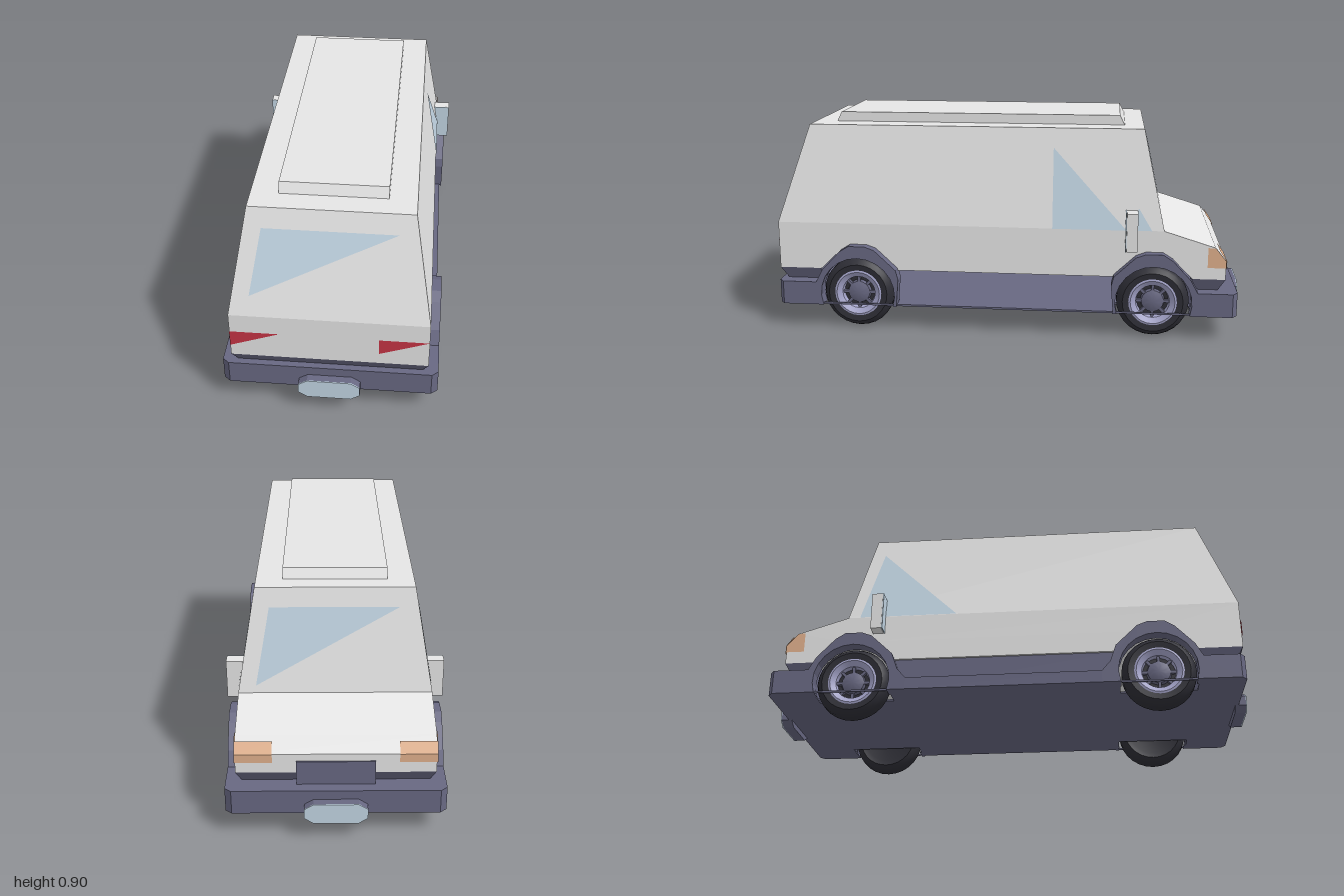
import * as THREE from 'three';
import { toCreasedNormals } from 'three/addons/utils/BufferGeometryUtils.js';

const material = (name, color, side = THREE.FrontSide) =>
  Object.assign(new THREE.MeshStandardMaterial({ color, side }), { name });

export function createModel() {
  const van = new THREE.Group();
  van.name = 'van';
  const white = material('body white', 0xe6e6e6);
  const trim = material('slate trim', 0x686882);
  const rubber = material('tyre black', 0x2e2e36);
  const alloy = material('wheel alloy', 0xa6a6cc);
  const glass = material('pale glass', 0xc3d6e4, THREE.DoubleSide);
  const red = material('tail red', 0xc63444, THREE.DoubleSide);
  const amber = material('lamp amber', 0xe0b08c, THREE.DoubleSide);

  const add = (name, geometry, mat, parent = van) => {
    const mesh = new THREE.Mesh(geometry, mat);
    mesh.name = name;
    parent.add(mesh);
    return mesh;
  };
  const polygon = pts => new THREE.Shape(pts.map(p => new THREE.Vector2(...p)));
  // Side profile (z, y) extruded from x0 to x1
  const sideExtrude = (shape, x0, x1) =>
    new THREE.ExtrudeGeometry(shape, { depth: x1 - x0, bevelEnabled: false, curveSegments: 14 })
      .rotateY(-Math.PI / 2).translate(x1, 0, 0);
  // Plan outline (x, z) extruded upward from y0 to y1
  const planExtrude = (shape, y0, y1) =>
    new THREE.ExtrudeGeometry(shape, { depth: y1 - y0, bevelEnabled: false })
      .rotateX(Math.PI / 2).translate(0, y1, 0);
  // Flat convex painted face
  const face = (name, pts, mat) => {
    const g = new THREE.BufferGeometry();
    const v = [];
    for (let i = 1; i < pts.length - 1; i++) v.push(...pts[0], ...pts[i], ...pts[i + 1]);
    g.setAttribute('position', new THREE.Float32BufferAttribute(v, 3));
    g.computeVertexNormals();
    return add(name, g, mat);
  };

  // Lower body with bonnet and wheel arches
  const arch = z => [[z - 0.16, 0.25], [z - 0.1, 0.31], [z - 0.04, 0.335],
    [z + 0.04, 0.335], [z + 0.1, 0.31], [z + 0.16, 0.25]];
  add('lowerBody', sideExtrude(polygon([
    [-0.915, 0.25], ...arch(-0.62), ...arch(0.625), [0.966, 0.25], [0.966, 0.45],
    [-0.66, 0.45], [-0.87, 0.385], [-0.915, 0.33]]), -0.38, 0.38), white);

  // Upper body, walls leaning in toward the roof
  const cabin = sideExtrude(polygon([[-0.66, 0.45], [0.966, 0.45], [0.83, 0.86], [-0.57, 0.86]]), -0.38, 0.38);
  const p = cabin.attributes.position;
  for (let i = 0; i < p.count; i++) if (p.getY(i) > 0.8) p.setX(i, Math.sign(p.getX(i)) * 0.31);
  cabin.computeVertexNormals();
  add('upperBody', cabin, white);
  add('roofPanel', sideExtrude(polygon([[-0.49, 0.86], [0.74, 0.86], [0.72, 0.9], [-0.47, 0.9]]), -0.205, 0.205), white);

  // Recessed skirts tapering under the body ends
  const skirt = (name, z0, zTop, zLow) => {
    const g = sideExtrude(polygon(zTop > 0
      ? [[z0, 0.195], [zLow, 0.195], [zTop, 0.25], [z0, 0.25]]
      : [[zLow, 0.195], [z0, 0.195], [z0, 0.25], [zTop, 0.25]]), -0.38, 0.38);
    const q = g.attributes.position;
    for (let i = 0; i < q.count; i++) if (q.getY(i) < 0.22) q.setX(i, Math.sign(q.getX(i)) * 0.358);
    g.computeVertexNormals();
    add(name, g, trim);
  };
  skirt('frontSkirt', 0.79, 0.966, 0.935);
  skirt('backSkirt', -0.78, -0.915, -0.885);
  add('rightSkirt', new THREE.BoxGeometry(0.02, 0.14, 0.92).translate(-0.36, 0.18, 0), trim);

  // Bumpers with cut corners and octagonal plate holders
  for (const s of [1, -1]) {
    const end = s > 0 ? 'front' : 'back';
    add(end + 'Bumper', planExtrude(polygon([[-0.42, s * 0.78], [0.42, s * 0.78], [0.42, s * 0.945],
      [0.395, s * 0.965], [-0.395, s * 0.965], [-0.42, s * 0.945]]), 0.1, 0.2), trim);
    const oct = polygon([[-0.085, 0.077], [0.085, 0.077], [0.12, 0.1], [0.12, 0.14],
      [0.085, 0.162], [-0.085, 0.162], [-0.12, 0.14], [-0.12, 0.1]]);
    add(end + 'PlateHolder', new THREE.ExtrudeGeometry(oct, { depth: 0.045, bevelEnabled: false })
      .translate(0, 0, s > 0 ? 0.951 : -0.996), trim);
    add(end + 'Plate', new THREE.ExtrudeGeometry(oct, { depth: 0.004, bevelEnabled: false })
      .translate(0, 0, s > 0 ? 0.996 : -1), glass);
  }

  // Floor with openings for the wheels
  const floor = polygon([[-0.41, -0.94], [0.41, -0.94], [0.41, 0.94], [-0.41, 0.94]]);
  for (const x of [-0.35, 0.35]) for (const z of [-0.62, 0.625])
    floor.holes.push(new THREE.Path([[x - 0.055, z - 0.155], [x - 0.055, z + 0.155],
      [x + 0.055, z + 0.155], [x + 0.055, z - 0.155]].map(c => new THREE.Vector2(...c))));
  add('floor', planExtrude(floor, 0.1, 0.108), trim);

  // Wheel arch trims
  const a0 = Math.asin(0.05 / 0.158);
  for (const x of [-1, 1]) for (const s of [-1, 1]) {
    const pts = [[0.18, 0.1], [0.18, 0.2], [0.15, 0.255], [0.075, 0.335], [0.035, 0.36], [-0.035, 0.36],
      [-0.075, 0.345], [-0.165, 0.26], [-0.19, 0.19], [-0.225, 0.15]];
    if (x > 0) pts.splice(8, 2, [-0.175, 0.22], [-0.165, 0.1]);
    else pts.push([-0.225, 0.1]);
    for (let i = 0; i <= 14; i++) {
      const a = Math.PI + a0 - i / 14 * (Math.PI + 2 * a0);
      pts.push([Math.cos(a) * 0.158, 0.15 + Math.sin(a) * 0.158]);
    }
    const shape = polygon(pts.map(([z, y]) => [s * (0.622 + z), y]));
    add('archTrim', sideExtrude(shape, x < 0 ? -0.42 : 0.365, x < 0 ? -0.365 : 0.42), trim);
  }
  add('rightSill', new THREE.BoxGeometry(0.055, 0.05, 0.8).translate(-0.3925, 0.125, 0), trim);

  // Wheels, outer face toward +x before mirroring
  const lathe = pts => toCreasedNormals(new THREE.LatheGeometry(
    pts.map(c => new THREE.Vector2(...c)), 28).rotateZ(-Math.PI / 2), 0.6);
  const tyre = lathe([[0, -0.04], [0.1, -0.04], [0.125, -0.0475], [0.142, -0.035], [0.15, -0.018],
    [0.15, 0.018], [0.142, 0.035], [0.125, 0.0475], [0.1, 0.044], [0.098, 0.01], [0, 0.01]]);
  const rim = lathe([[0.1, 0.01], [0.1, 0.044], [0.092, 0.046], [0.07, 0.032], [0.066, 0.01]]);
  const hub = lathe([[0.05, 0.01], [0.046, 0.026], [0.025, 0.034], [0, 0.034]]);
  for (const x of [-1, 1]) for (const z of [-0.62, 0.625]) {
    const wheel = new THREE.Group();
    wheel.name = z > 0 ? 'frontWheel' : 'backWheel';
    add('tyre', tyre, rubber, wheel);
    add('rim', rim, alloy, wheel);
    add('hub', hub, trim, wheel);
    for (let i = 0; i < 8; i++) {
      const spoke = add('spoke', new THREE.BoxGeometry(0.014, 0.03, 0.012).translate(0.018, 0.058, 0), trim, wheel);
      spoke.rotation.x = i * Math.PI / 4;
    }
    wheel.position.set(x * 0.357, 0.15, z);
    if (x < 0) wheel.rotation.y = Math.PI;
    van.add(wheel);
  }

  // Points lying just outside the sloping cabin walls
  const lean = y => Math.max(0, (y - 0.45) / 0.41);
  const onSide = (s, z, y) => [s * (0.383 - 0.07 * lean(y)), y, z];
  const onFront = (x, y) => [x, y, 0.969 - 0.136 * lean(y)];
  const onBack = (x, y) => [x, y, -0.663 + 0.09 * lean(y)];

  // Windows
  face('frontWindow', [onFront(-0.3, 0.53), onFront(0.25, 0.785), onFront(-0.255, 0.785)], glass);
  face('backWindow', [onBack(0.31, 0.48), onBack(-0.25, 0.785), onBack(0.255, 0.785)], glass);
  face('leftWindow', [onSide(1, -0.2, 0.45), onSide(1, -0.505, 0.45), onSide(1, -0.2, 0.78)], glass);
  face('leftQuarterWindow', [onSide(1, -0.505, 0.45), onSide(1, -0.61, 0.45), onSide(1, -0.555, 0.54)], glass);
  face('rightWindow', [onSide(-1, -0.61, 0.45), onSide(-1, -0.2, 0.45), onSide(-1, -0.53, 0.78)], glass);

  // Red lamps
  for (const x of [-0.38, 0.19])
    face('redLamp', [[x, 0.3, 0.969], [x + 0.19, 0.37, 0.969], [x, 0.37, 0.969]], red);

  // Amber lamps wrapping the bonnet corners
  for (const s of [-1, 1]) {
    const a = s * 0.24, b = s * 0.383;
    face('amberLampTop', [[a, 0.37, -0.889], [b, 0.37, -0.889], [b, 0.33, -0.918], [a, 0.33, -0.918]], amber);
    face('amberLampFace', [[a, 0.33, -0.918], [b, 0.33, -0.918], [b, 0.295, -0.918], [a, 0.295, -0.918]], amber);
    face('amberLampSide', [[b, 0.3, -0.84], [b, 0.385, -0.84], [b, 0.383, -0.87],
      [b, 0.33, -0.916], [b, 0.3, -0.916]], amber);
    // Door mirrors
    add('mirror', new THREE.BoxGeometry(0.07, 0.16, 0.045).translate(s * 0.4, 0.452, -0.528), white);
    add('mirrorGlass', new THREE.BoxGeometry(0.07, 0.16, 0.004).translate(s * 0.4, 0.452, -0.503), glass);
  }
  add('grille', new THREE.BoxGeometry(0.3, 0.1, 0.008).translate(0, 0.25, -0.917), trim);
  return van;
}
